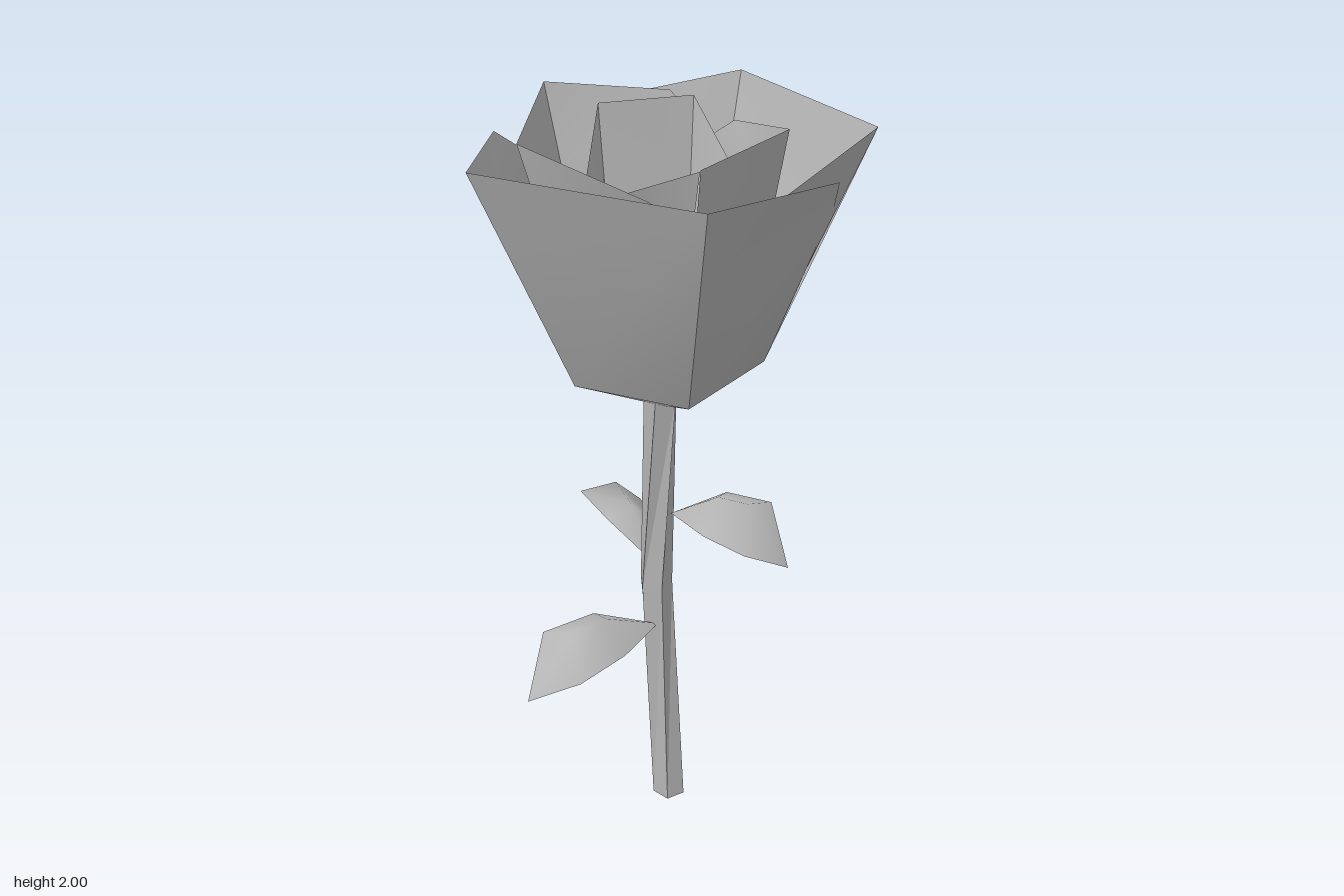
import * as THREE from 'three';

const grey = new THREE.MeshStandardMaterial({ color: 0xb4b4b4, side: THREE.DoubleSide });
grey.name = 'soft grey';

function surface(name, points, faces) {
  const g = new THREE.BufferGeometry();
  g.setAttribute('position', new THREE.Float32BufferAttribute(points.flat(), 3));
  g.setIndex(faces.flat());
  g.computeVertexNormals();
  const mesh = new THREE.Mesh(g, grey);
  mesh.name = name;
  return mesh;
}

// Corners of the five-sided cup (x, z)
const corners = [[-0.16, 0.23], [0.14, 0.23], [0.22, -0.07], [0, -0.21], [-0.25, 0]];
const [FRONT_LEFT, FRONT_RIGHT, RIGHT, BACK, LEFT] = [0, 1, 2, 3, 4];
const centre = [-0.015, 0.03];

function cupPoint(i, scale, y) {
  const [x, z] = corners[i];
  return [centre[0] + (x - centre[0]) * scale, y, centre[1] + (z - centre[1]) * scale];
}

// A petal rises from the cup tip, bends at the cup ring and ends in a free rim.
// The rim runs from above corner a to above corner b.
function petal(name, size, ringY, a, b, rim) {
  const ringA = cupPoint(a, size, ringY);
  const shoulder = ringA.map((v, k) => v + (rim[0][k] - v) * 0.68);
  const points = [
    cupPoint(a, 0.12 * size, 1.25), cupPoint(b, 0.12 * size, 1.25),
    ringA, cupPoint(b, size, ringY), shoulder, ...rim,
  ];
  const last = points.length - 1;
  const faces = [[0, 1, 3], [0, 3, 2], [2, 3, last], [2, last, 4]];
  for (let i = 5; i < last; i++) faces.push([4, i + 1, i]);
  // keep the winding facing outwards
  const turn = (b - a + 5) % 5 === 1;
  return surface(name, points, turn ? faces : faces.map(([p, q, r]) => [p, r, q]));
}

// Each petal goes from the tip over one corner to the tip over the next,
// or to its own drooping end when two free points are given
function petalLayer(name, size, ringY, tips, petals) {
  const layer = new THREE.Group();
  layer.name = name;
  petals.forEach(([a, b, ...free], i) => {
    const rim = [tips[a], ...(free.length ? free : [tips[b]])];
    layer.add(petal(`${name}${i + 1}`, size, ringY, a, b, rim));
  });
  return layer;
}

function outerPetals() {
  const tips = {
    [FRONT_LEFT]: [-0.3, 1.975, 0.455], [FRONT_RIGHT]: [0.27, 1.97, 0.45],
    [RIGHT]: [0.455, 1.98, -0.15], [BACK]: [0, 1.96, -0.455],
  };
  return petalLayer('outerPetal', 1, 1.36, tips, [
    [FRONT_LEFT, FRONT_RIGHT],
    [FRONT_RIGHT, RIGHT, [0.42, 1.9, 0.015], [0.37, 1.78, -0.11]],
    [RIGHT, BACK],
    [BACK, LEFT, [-0.345, 1.9, -0.225], [-0.385, 1.78, -0.1]],
    [FRONT_LEFT, LEFT, [-0.455, 1.9, 0.03], [-0.41, 1.79, -0.105]],
  ]);
}

// Ends of the outer petals, tucked behind their neighbours
function tuckedEnds() {
  const tips = { [RIGHT]: [0.455, 1.98, -0.15], [LEFT]: [-0.41, 1.79, -0.105] };
  return petalLayer('tuckedPetalEnd', 0.96, 1.365, tips, [
    [RIGHT, FRONT_RIGHT, [0.335, 1.9, 0.135], [0.265, 1.72, 0.14]],
    [LEFT, BACK, [-0.25, 1.75, -0.165]],
  ]);
}

function middlePetals() {
  const tips = {
    [FRONT_LEFT]: [-0.245, 2, 0.315], [FRONT_RIGHT]: [0.175, 1.98, 0.255],
    [RIGHT]: [0.275, 1.985, -0.045], [LEFT]: [-0.37, 2, -0.08],
  };
  return petalLayer('middlePetal', 0.8, 1.39, tips, [
    [FRONT_LEFT, FRONT_RIGHT, [0.08, 1.92, 0.33], [0.165, 1.85, 0.275]],
    [FRONT_RIGHT, RIGHT],
    [RIGHT, BACK, [0.075, 1.92, -0.215], [-0.015, 1.85, -0.215]],
    [LEFT, BACK, [-0.12, 1.95, -0.275], [-0.02, 1.85, -0.275]],
    [FRONT_LEFT, LEFT],
  ]);
}

function innerPetals() {
  const tips = {
    [FRONT_RIGHT]: [0.172, 1.975, 0.252], [BACK]: [-0.02, 1.98, -0.185], [LEFT]: [-0.21, 1.98, -0.045],
  };
  return petalLayer('innerPetal', 0.55, 1.42, tips, [
    [FRONT_RIGHT, FRONT_LEFT, [-0.08, 1.87, 0.283], [-0.15, 1.75, 0.2]],
    [BACK, RIGHT, [0.12, 1.85, -0.09], [0.15, 1.75, -0.02]],
    [BACK, LEFT],
    [LEFT, FRONT_LEFT, [-0.165, 1.85, 0.13], [-0.115, 1.75, 0.165]],
  ]);
}

// Arched leaf from base to tip: a raised rib between two wide edges, rolled to one side
function leaf(name, base, tip, roll) {
  const [dx, dy, dz] = tip.map((v, k) => v - base[k]);
  const len = Math.hypot(dx, dz);
  const at = (t, side, arch) => [
    base[0] + dx * t - (dz / len) * side,
    base[1] + dy * t + arch - roll * side,
    base[2] + dz * t + (dx / len) * side,
  ];
  const points = [
    at(0, 0, 0),
    at(0.38, 0.075, 0.06), at(0.4, 0, 0.115), at(0.38, -0.075, 0.06),
    at(0.74, 0.09, 0.075), at(0.65, 0, 0.135), at(0.74, -0.09, 0.075),
    at(1, 0, 0),
  ];
  const faces = [[0, 1, 2], [0, 2, 3], [1, 4, 5], [1, 5, 2], [2, 5, 6], [2, 6, 3], [4, 7, 5], [5, 7, 6]];
  return surface(name, points, faces.map(([p, q, r]) => [p, r, q]));
}

// Slightly bent and twisted five-sided stem, with a closed foot
function stem() {
  const rings = [[0.01, 0, 0.045, 0.3], [-0.032, 0.7, 0.038, 0.8], [-0.012, 1.27, 0.038, 1.3]];
  const points = [], n = 5;
  for (const [x, y, z, twist] of rings) {
    for (let i = 0; i < n; i++) {
      const a = twist + (i / n) * Math.PI * 2;
      points.push([x + Math.sin(a) * 0.045, y, z + Math.cos(a) * 0.045]);
    }
  }
  const faces = [[0, 2, 1], [0, 3, 2], [0, 4, 3]];
  for (let r = 0; r < 2; r++) {
    for (let i = 0; i < n; i++) {
      const a = r * n + i, b = r * n + (i + 1) % n;
      faces.push([a, b, b + n], [a, b + n, a + n]);
    }
  }
  const mesh = surface('stem', points, faces);
  mesh.geometry = mesh.geometry.toNonIndexed();
  mesh.geometry.computeVertexNormals();
  return mesh;
}

export function createModel() {
  const model = new THREE.Group();
  model.name = 'flower';

  const bloom = new THREE.Group();
  bloom.name = 'bloom';
  bloom.add(outerPetals(), tuckedEnds(), middlePetals(), innerPetals());

  model.add(
    bloom,
    stem(),
    leaf('rightLowerLeaf', [-0.015, 0.58, 0.06], [-0.235, 0.5, 0.41], -0.33),
    leaf('backLeaf', [-0.04, 0.73, 0.01], [-0.345, 0.7, -0.265], 0.4),
    leaf('leftUpperLeaf', [0.01, 0.92, 0.03], [0.34, 0.84, 0.04], 0.33),
  );
  return model;
}
